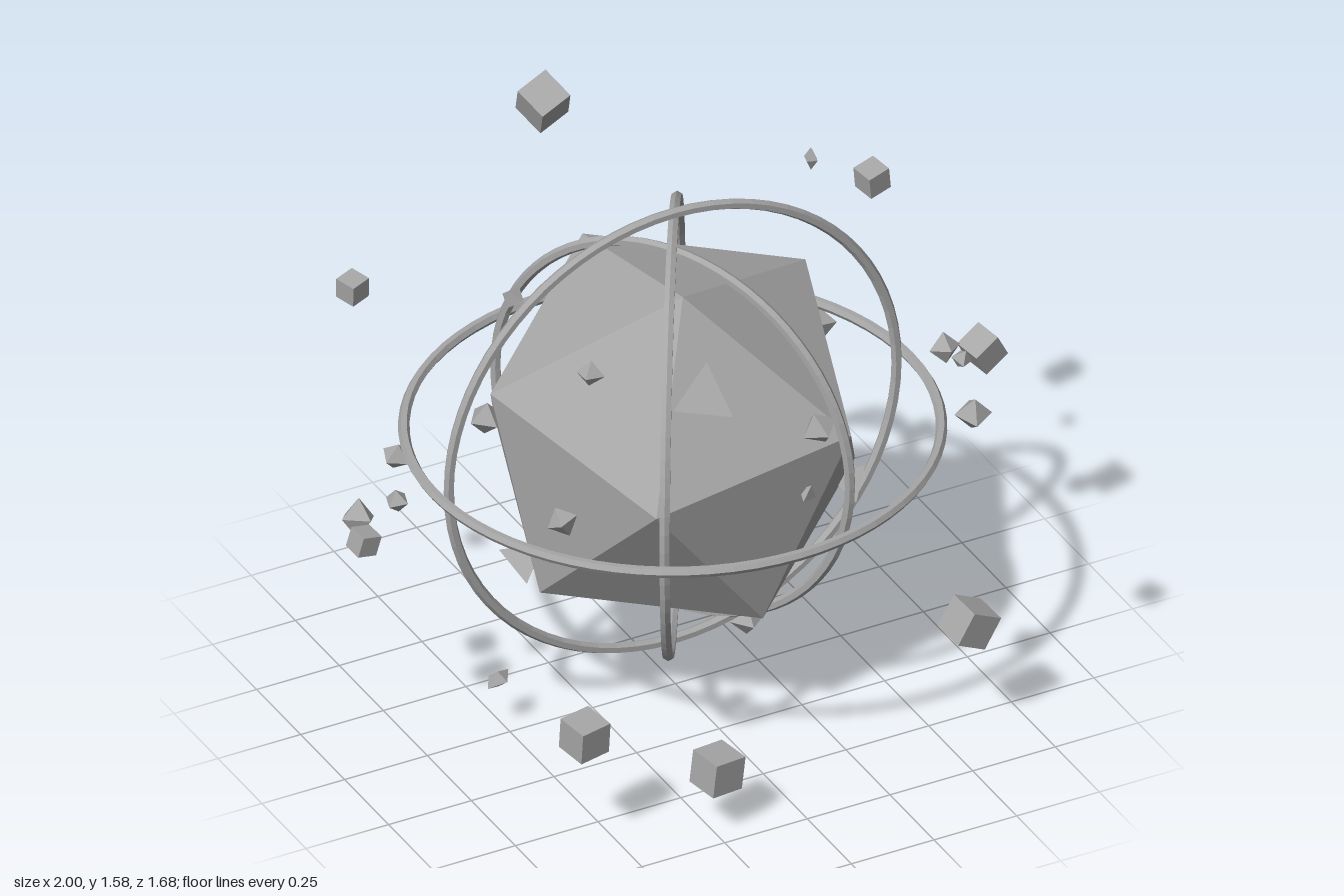
import * as THREE from 'three';

export function createModel() {
  const model = new THREE.Group();
  model.name = 'ringedCrystal';
  const stone = new THREE.MeshStandardMaterial({ color: 0xa6a6a6, flatShading: true });
  stone.name = 'grey stone';
  const centre = new THREE.Vector3(-0.008, 0.826, 0);

  const add = (name, geometry, position) => {
    const mesh = new THREE.Mesh(geometry, stone);
    mesh.name = name;
    mesh.position.copy(position);
    model.add(mesh);
    return mesh;
  };

  // Faceted core, turned so one of its edges faces the front
  const core = add('core', new THREE.IcosahedronGeometry(0.57, 0), centre);
  const ax = new THREE.Vector3(0.9914, 0.13, -0.017).normalize();
  const az = ax.clone().cross(new THREE.Vector3(-0.016, 0.224, 0.975)).normalize();
  const ay = az.clone().cross(ax);
  core.quaternion.setFromRotationMatrix(new THREE.Matrix4().makeBasis(ax, ay, az));

  // One level ring and three upright rings, 60 degrees apart
  const rings = [
    ['levelRing', 0.718, Math.PI / 2, 0],
    ['frontRing', 0.677, 0, 0],
    ['outerCrossRing', 0.613, 0, Math.PI / 3],
    ['innerCrossRing', 0.558, 0, -Math.PI / 3],
  ];
  for (const [name, radius, rx, ry] of rings) {
    add(name, new THREE.TorusGeometry(radius, 0.0155, 6, 72), centre).rotation.set(rx, ry, 0);
  }

  // Floating cubes: x, y, z, side, rotation x, y, z
  const cubes = [
    [-0.025, 1.46, -0.705, 0.1, 0.45, 0.3, 0.2],
    [-0.75, 1.25, -0.425, 0.062, 0.1, 0.35, 0.05],
    [0.8, 1.15, -0.385, 0.068, 0.1, 0.2, 0.15],
    [0.945, 0.765, -0.03, 0.082, 0.1, 0.2, 0.5],
    [-0.957, 0.765, 0.028, 0.06, 0.1, 0.1, -0.25],
    [-0.59, 0.36, 0.594, 0.095, 0.1, 0.2, 0],
    [0.577, 0.36, 0.587, 0.1, 0.1, 0.1, -0.5],
    [-0.23, 0.187, 0.672, 0.1, 0.05, 0.2, -0.1],
  ];
  for (const [x, y, z, side, rx, ry, rz] of cubes) {
    add('floatingCube', new THREE.BoxGeometry(side, side, side), new THREE.Vector3(x, y, z)).rotation.set(rx, ry, rz);
  }

  // Floating eight-sided shards: x, y, z, radius
  const shards = [
    [0.02, 1.26, 0.783, 0.052], [0.556, 1.065, 0.648, 0.052],
    [-0.65, 1.05, 0.58, 0.044], [-0.32, 1.155, 0.12, 0.04],
    [-0.847, 0.85, 0.01, 0.036], [-0.903, 0.745, -0.107, 0.055],
    [0.825, 0.81, -0.02, 0.045], [0.885, 0.747, -0.035, 0.03],
    [0.703, 0.637, -0.52, 0.056], [0.34, 0.495, -0.11, 0.048],
    [-0.485, 0.487, -0.677, 0.042], [-0.15, 0.438, -0.795, 0.05],
    [0.283, 0.053, -0.125, 0.05],
  ];
  shards.forEach(([x, y, z, r], i) => {
    add('floatingShard', new THREE.OctahedronGeometry(r, 0), new THREE.Vector3(x, y, z))
      .rotation.set(0.3 * Math.sin(i * 2.1), i * 1.3, 0.35 * Math.cos(i * 1.7));
  });

  // Thin slivers
  const slivers = [
    [0.41, 1.55, 0, 0.02, 0.036, 0.022, 0],
    [-0.55, 1.465, 0.112, 0.034, 0.034, 0.034, 0.6],
    [-0.52, 0.16, -0.03, 0.05, 0.025, 0.03, 0.1],
  ];
  for (const [x, y, z, sx, sy, sz, tilt] of slivers) {
    const sliver = add('sliver', new THREE.OctahedronGeometry(1, 0), new THREE.Vector3(x, y, z));
    sliver.scale.set(sx, sy, sz);
    sliver.rotation.set(0, 0.5, tilt);
  }

  // Four-sided chips set into the core, one face turned outwards
  const chips = [
    [-0.11, 1.15, 0.36, 0.1], [0.04, 1.06, -0.46, 0.095],
    [0.455, 0.58, 0.13, 0.065], [-0.41, 0.465, -0.09, 0.075],
    [0.155, 0.825, 0.46, 0.03], [-0.155, 0.825, -0.46, 0.03],
  ];
  const corner = new THREE.Vector3(1, 1, 1).normalize();
  for (const [x, y, z, r] of chips) {
    const position = new THREE.Vector3(x, y, z);
    const inward = centre.clone().sub(position).normalize();
    add('surfaceChip', new THREE.TetrahedronGeometry(r, 0), position).quaternion.setFromUnitVectors(corner, inward);
  }
  return model;
}
